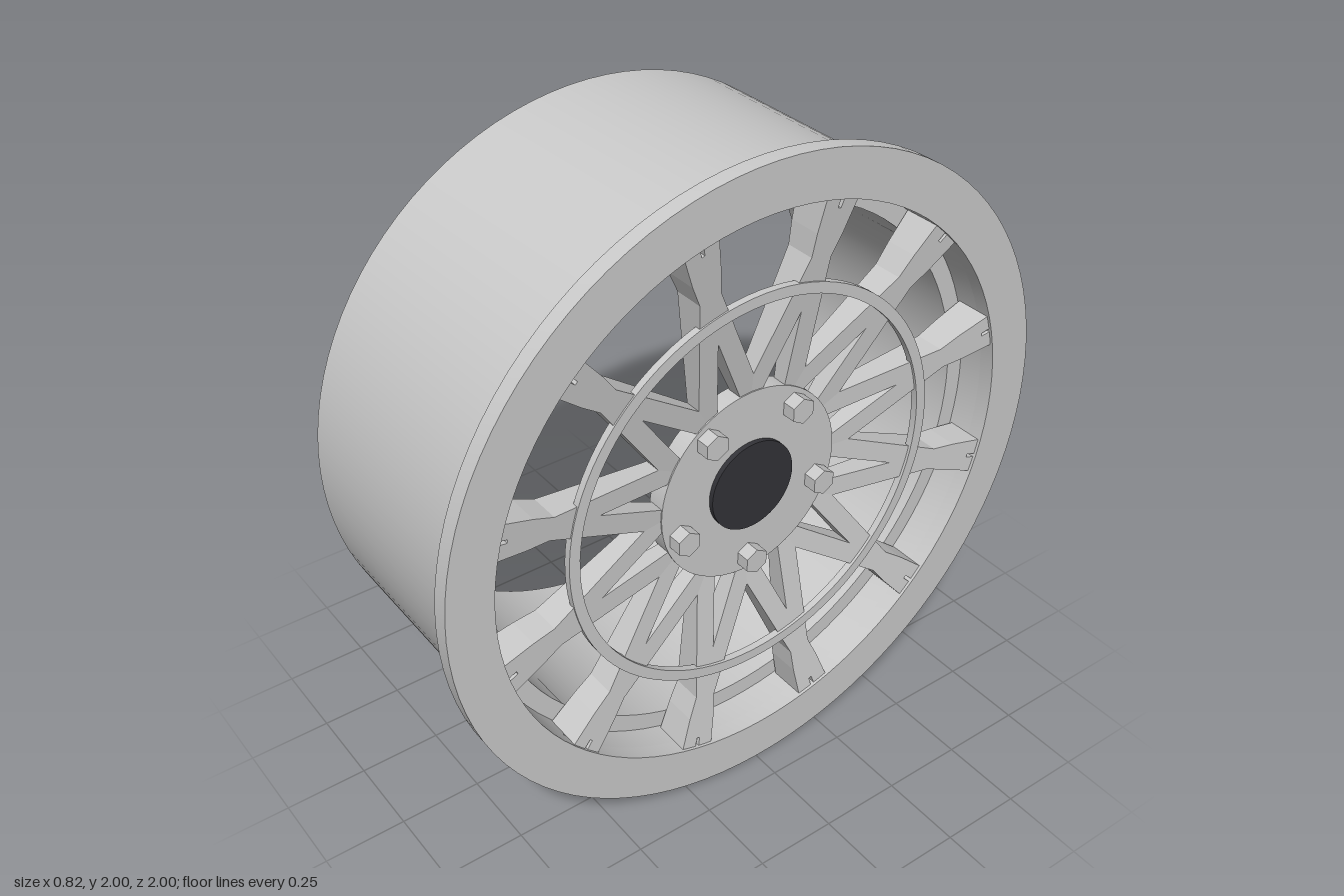
import * as THREE from 'three';
import { toCreasedNormals } from 'three/addons/utils/BufferGeometryUtils.js';

const grey = new THREE.MeshStandardMaterial({ color: 0xcccccc });
const dark = new THREE.MeshStandardMaterial({ color: 0x333338 });

function add(parent, name, geometry, material = grey) {
  const mesh = new THREE.Mesh(geometry, material);
  mesh.name = name;
  parent.add(mesh);
  return mesh;
}

// Closed [radius, axial] profile spun around the wheel axis (local z)
function spin(profile, segments = 96) {
  const points = [...profile, profile[0]].map(([r, a]) => new THREE.Vector2(r, a));
  const geometry = new THREE.LatheGeometry(points, segments).rotateX(Math.PI / 2);
  return toCreasedNormals(geometry, 0.4);
}

// Solid disc or prism along the axis
function disc(radius, back, front, sides) {
  return new THREE.CylinderGeometry(radius, radius, front - back, sides)
    .rotateX(Math.PI / 2).translate(0, 0, (front + back) / 2);
}

// Forked spoke: two legs at the hub, a waist, and a notched flare at the rim
function spokeGeometry() {
  const half = [
    [0.047, 0.25], [0.113, 0.25], [0.093, 0.348], [0.034, 0.69],
    [0.045, 0.76], [0.054, 0.86], [0.056, 0.9], [0.007, 0.9], [0.005, 0.832],
  ];
  const mirrored = half.map(([u, v]) => [-u, v]).reverse();
  const outline = [...half, ...mirrored, [0, 0.53]];
  const shape = new THREE.Shape(outline.map(([u, v]) => new THREE.Vector2(u, v)));
  const geometry = new THREE.ExtrudeGeometry(shape, { depth: 1, bevelEnabled: false });
  // Flat back; the front rises evenly from the hub to the flange
  const p = geometry.attributes.position;
  for (let i = 0; i < p.count; i++) {
    const front = 0.334 + (p.getY(i) - 0.3) * 0.12;
    p.setZ(i, THREE.MathUtils.lerp(0.288, front, p.getZ(i)));
  }
  geometry.computeVertexNormals();
  return geometry;
}

export function createModel() {
  const model = new THREE.Group();
  model.name = 'wheelRim';
  const wheel = new THREE.Group();
  wheel.name = 'wheel';
  wheel.rotation.y = Math.PI / 2; // axis along x, face towards +x
  wheel.position.y = 1;
  model.add(wheel);

  // Barrel with a stepped front seat, and front flange
  add(wheel, 'barrel', spin([
    [0.805, -0.41], [0.93, -0.41], [0.93, 0.352], [0.92, 0.36],
    [0.86, 0.36], [0.86, 0.28], [0.805, 0.28],
  ]));
  add(wheel, 'flange', spin([[0.86, 0.36], [1, 0.36], [1, 0.41], [0.86, 0.41]]));

  // Twelve forked spokes
  const spoke = spokeGeometry();
  for (let i = 0; i < 12; i++) {
    add(wheel, 'spoke', spoke).rotation.z = (i + 0.5) * Math.PI / 6;
  }

  // Thin ring crossing the spokes
  add(wheel, 'spokeRing', spin([[0.587, 0.355], [0.62, 0.355], [0.62, 0.377], [0.587, 0.377]]));

  // Hub with dark centre cap
  add(wheel, 'hub', disc(0.3, 0.28, 0.337, 64));
  add(wheel, 'centreCap', disc(0.14, 0.32, 0.352, 64), dark);

  // Five hexagonal nuts
  const nut = disc(0.04, 0.32, 0.38, 6).toNonIndexed();
  nut.computeVertexNormals();
  for (let i = 0; i < 5; i++) {
    const a = -Math.PI / 2 + i * Math.PI * 2 / 5;
    add(wheel, 'wheelNut', nut).position.set(0.25 * Math.cos(a), 0.25 * Math.sin(a), 0);
  }
  return model;
}
